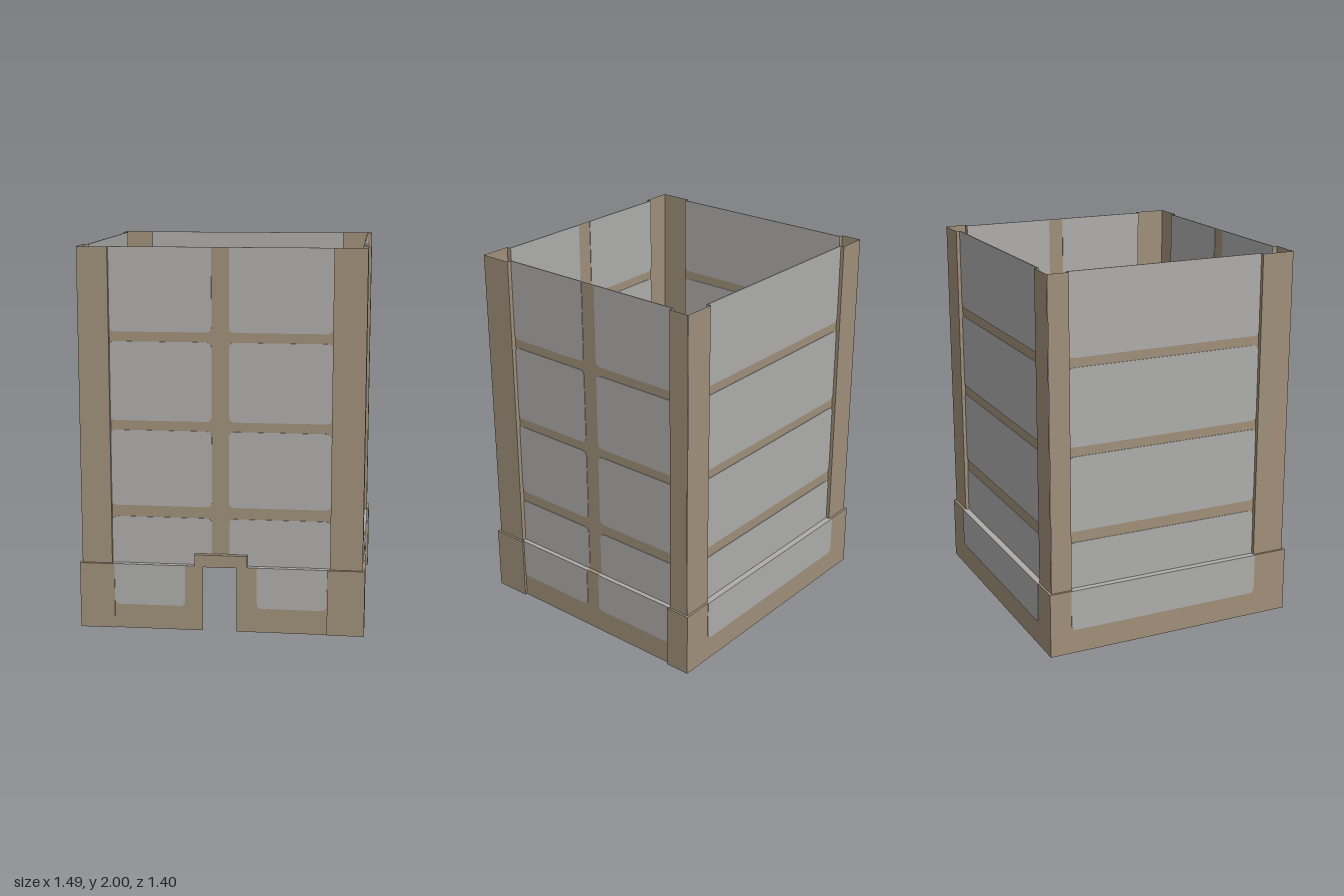
import * as THREE from 'three';

const stone = new THREE.MeshStandardMaterial({ name: 'tan frame', color: 0x9f8f79, side: THREE.DoubleSide });
const glass = new THREE.MeshStandardMaterial({ name: 'grey pane', color: 0xadacab, side: THREE.DoubleSide });

const TOP = 2, BASE = 0.35;
const ROWS = [[BASE, 0.6], [0.66, 1.06], [1.11, 1.52], [1.57, TOP]];

// Each side in its own frame: u runs to the right as seen from outside, d is the distance outwards.
// u: recessed span, wall/post/skirt/foot: depths, ends: half widths of posts and of base.
const SIDES = [
  { name: 'front', turn: 0, u: [-0.575, 0.565], wall: 0.66, post: 0.683, skirt: 0.69, foot: 0.697, ends: [0.733, 0.745],
    split: [-0.562, 0.552], cols: [[-0.575, -0.05], [0.04, 0.565]], basePanes: [[-0.562, -0.19], [0.185, 0.55]],
    ledge: [[-0.575, 0.565]], door: [-0.095, 0.08, 0.345] },
  { name: 'right', turn: Math.PI / 2, u: [-0.508, 0.572], wall: 0.707, post: 0.733, skirt: 0.732, foot: 0.745, ends: [0.683, 0.697],
    split: [-0.498, 0.56], cols: [[-0.508, -0.015], [0.07, 0.572]], basePanes: [[-0.498, -0.015], [0.07, 0.56]],
    ledge: [[-0.508, -0.012], [0.072, 0.572]] },
  { name: 'back', turn: Math.PI, u: [-0.565, 0.575], wall: 0.663, post: 0.685, skirt: 0.697, foot: 0.697, ends: [0.733, 0.745],
    split: [-0.565, 0.575], cols: [[-0.565, 0.575]], basePanes: [[-0.575, 0.585]], ledge: [[-0.565, 0.575]] },
  { name: 'left', turn: -Math.PI / 2, u: [-0.572, 0.505], wall: 0.71, post: 0.733, skirt: 0.745, foot: 0.745, ends: [0.683, 0.697],
    split: [-0.572, 0.505], cols: [[-0.572, 0.505]], basePanes: [[-0.58, 0.505]], ledge: [[-0.572, 0.505]] },
];

function add(group, name, geometry, material, x = 0, y = 0, z = 0) {
  const mesh = new THREE.Mesh(geometry, material);
  mesh.name = name;
  mesh.position.set(x, y, z);
  group.add(mesh);
}

// Upright sheet facing outwards
const face = (g, name, u0, u1, y0, y1, d, mat = stone) =>
  add(g, name, new THREE.PlaneGeometry(u1 - u0, y1 - y0), mat, (u0 + u1) / 2, (y0 + y1) / 2, d);

// Upright sheet facing along the wall
const cheek = (g, name, u, y0, y1, d0, d1) =>
  add(g, name, new THREE.PlaneGeometry(d1 - d0, y1 - y0).rotateY(Math.PI / 2), stone, u, (y0 + y1) / 2, (d0 + d1) / 2);

// Level sheet on top of the base
const shelf = (g, name, u0, u1, d0, d1, mat = stone, y = BASE) =>
  add(g, name, new THREE.PlaneGeometry(u1 - u0, d1 - d0).rotateX(-Math.PI / 2), mat, (u0 + u1) / 2, y, (d0 + d1) / 2);

// Thin pane set through the wall, so that it shows inside and outside
function pane(g, name, u0, u1, y0, y1, d, roundBottom, roundTop) {
  const b = roundBottom ? 0.03 : 0, t = roundTop ? 0.03 : 0;
  const s = new THREE.Shape();
  s.moveTo(u0 + b, y0);
  s.lineTo(u1 - b, y0);
  if (b) s.quadraticCurveTo(u1, y0, u1, y0 + b);
  s.lineTo(u1, y1 - t);
  if (t) s.quadraticCurveTo(u1, y1, u1 - t, y1);
  s.lineTo(u0 + t, y1);
  if (t) s.quadraticCurveTo(u0, y1, u0, y1 - t);
  s.lineTo(u0, y0 + b);
  if (b) s.quadraticCurveTo(u0, y0, u0 + b, y0);
  const geo = new THREE.ExtrudeGeometry(s, { depth: 0.006, bevelEnabled: false, curveSegments: 5 });
  add(g, name, geo, glass, 0, 0, d - 0.003);
}

function buildSide(c) {
  const g = new THREE.Group();
  g.name = c.name + 'Side';
  g.rotation.y = c.turn;
  const [u0, u1] = c.u, [s0, s1] = c.split, [postEnd, baseEnd] = c.ends;

  // Upper wall with its panes
  face(g, 'upperWall', u0, u1, BASE, TOP, c.wall);
  for (const [a, b] of c.cols)
    ROWS.forEach(([y0, y1], i) => pane(g, 'windowPane', a, b, y0, y1, c.wall, i > 0, i < ROWS.length - 1));

  // Corner posts and the returns to the recessed wall
  face(g, 'cornerPost', -postEnd, u0, BASE, TOP, c.post);
  face(g, 'cornerPost', u1, postEnd, BASE, TOP, c.post);
  for (const u of c.u) cheek(g, 'postReturn', u, BASE, TOP, c.wall, c.post);

  // Base: middle sheet (with doorway in front) and corner blocks
  if (c.door) {
    const [a, b, h] = c.door;
    face(g, 'baseWall', s0, a, 0, BASE, c.skirt);
    face(g, 'baseWall', b, s1, 0, BASE, c.skirt);
    face(g, 'doorHead', a, b, h, BASE, c.skirt);
  } else face(g, 'baseWall', s0, s1, 0, BASE, c.skirt);
  face(g, 'baseCorner', -baseEnd, s0, 0, BASE, c.foot);
  face(g, 'baseCorner', s1, baseEnd, 0, BASE, c.foot);
  if (c.foot > c.skirt) for (const u of c.split) cheek(g, 'baseReturn', u, 0, BASE, c.skirt, c.foot);
  for (const [a, b] of c.basePanes) pane(g, 'basePane', a, b, 0.13, BASE, c.foot > c.skirt ? c.skirt : c.foot, true, false);

  // Ledge on the base
  let edge = u0;
  for (const [a, b] of c.ledge) {
    if (a > edge) shelf(g, 'ledgeBar', edge, a, c.wall, c.skirt);
    shelf(g, 'ledge', a, b, c.wall, c.skirt, glass);
    edge = b;
  }
  const inner = Math.min(c.post, c.skirt);
  shelf(g, 'cornerLedge', -baseEnd, u0, inner, c.foot);
  shelf(g, 'cornerLedge', u1, baseEnd, inner, c.foot);

  // Raised lintel over the doorway
  if (c.door) {
    const l = -0.14, r = 0.135, y = 0.41;
    face(g, 'lintel', l, r, BASE, y, c.skirt);
    shelf(g, 'lintelTop', l, r, c.wall, c.skirt, stone, y);
    shelf(g, 'lintelUnderside', l, r, c.wall, c.skirt, stone, BASE - 0.002);
    for (const u of [l, r]) cheek(g, 'lintelEnd', u, BASE, y, c.wall, c.skirt);
  }
  return g;
}

export function createModel() {
  const model = new THREE.Group();
  model.name = 'towerBlock';
  for (const side of SIDES) model.add(buildSide(side));
  return model;
}
